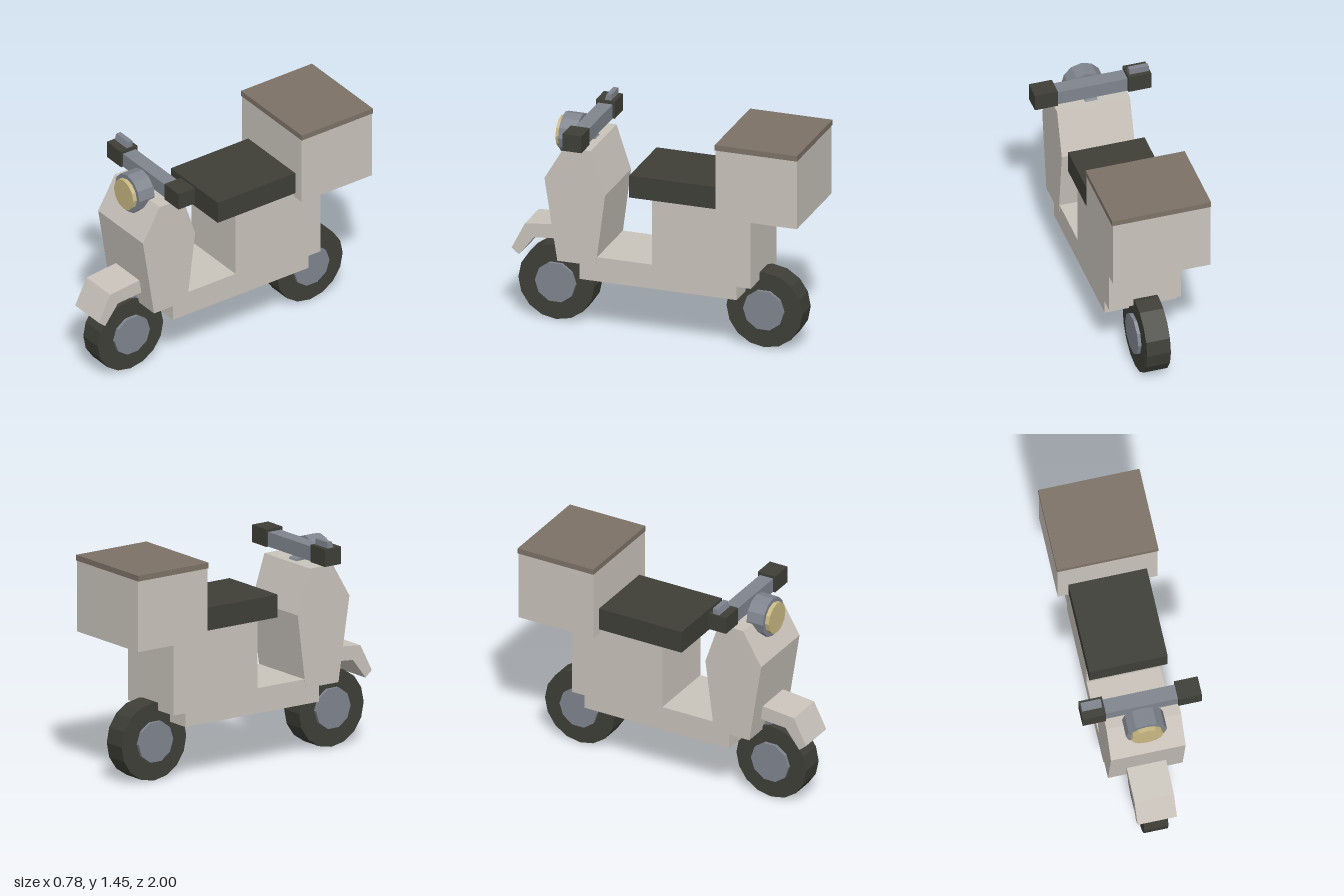
import * as THREE from 'three';

const mat = (name, color) => {
  const m = new THREE.MeshStandardMaterial({ color });
  m.name = name;
  return m;
};

export function createModel() {
  const scooter = new THREE.Group();
  scooter.name = 'scooter';
  const paint = mat('warm grey paint', 0xcac4bc);
  const rubber = mat('black rubber', 0x3f3f38);
  const metal = mat('blue grey metal', 0x80858f);
  const brown = mat('brown lid', 0x7d7267);
  const glass = mat('amber lens', 0xc9b983);

  const add = (name, geometry, material) => {
    const mesh = new THREE.Mesh(geometry, material);
    mesh.name = name;
    scooter.add(mesh);
    return mesh;
  };
  // Box given by its min and max corners
  const box = (name, material, [x0, y0, z0], [x1, y1, z1]) => {
    const g = new THREE.BoxGeometry(x1 - x0, y1 - y0, z1 - z0);
    return add(name, g.translate((x0 + x1) / 2, (y0 + y1) / 2, (z0 + z1) / 2), material);
  };
  // Side profile of [z, y] points, extruded across x and centred
  const profile = (name, material, points, width) => {
    const shape = new THREE.Shape(points.map(([z, y]) => new THREE.Vector2(z, y)));
    const g = new THREE.ExtrudeGeometry(shape, { depth: width, bevelEnabled: false });
    return add(name, g.translate(0, 0, -width / 2).rotateY(-Math.PI / 2), material);
  };
  // Faceted cylinder along the x or z axis
  const drum = (name, material, radius, length, sides, axis, [x, y, z]) => {
    let g = new THREE.CylinderGeometry(radius, radius, length, sides);
    if (axis === 'x') g.rotateZ(Math.PI / 2);
    else g.rotateX(Math.PI / 2);
    g = g.toNonIndexed();
    g.computeVertexNormals();
    return add(name, g.translate(x, y, z), material);
  };

  // Wheels
  for (const [label, z] of [['front', 0.716], ['rear', -0.689]]) {
    drum(label + 'Tyre', rubber, 0.256, 0.158, 16, 'x', [0, 0.256, z]);
    drum(label + 'Hub', metal, 0.137, 0.202, 10, 'x', [0, 0.258, z]);
  }

  // Footboard and rear body in one profile
  profile('body', paint, [
    [0.5, 0.365], [0.5, 0.53], [0.01, 0.53], [0.01, 0.98],
    [-0.655, 0.98], [-0.655, 0.455], [-0.56, 0.455], [-0.56, 0.365],
  ], 0.48);

  // Front leg shield
  profile('legShield', paint, [
    [0.65, 0.47], [0.737, 1.025], [0.605, 1.25],
    [0.426, 1.25], [0.328, 0.957], [0.39, 0.47],
  ], 0.486);

  // Front fender and fork
  profile('frontFender', paint, [
    [0.66, 0.673], [0.91, 0.647], [1.0, 0.47],
    [0.95, 0.428], [0.85, 0.56], [0.66, 0.575],
  ], 0.256);
  profile('fork', metal, [[0.64, 0.62], [0.69, 0.62], [0.74, 0.26], [0.68, 0.26]], 0.12);

  // Seat
  box('seat', rubber, [-0.255, 0.975, -0.46], [0.255, 1.125, 0.16]);

  // Cargo box with lid
  box('cargoBox', paint, [-0.325, 0.943, -0.997], [0.325, 1.41, -0.447]);
  box('cargoLid', brown, [-0.33, 1.408, -1], [0.33, 1.445, -0.444]);

  // Steering stem, handlebar and grips
  profile('steeringStem', metal, [[0.46, 1.24], [0.475, 1.262], [0.556, 1.279], [0.57, 1.24]], 0.08);
  box('handlebar', metal, [-0.24, 1.29, 0.45], [0.24, 1.386, 0.548]);
  for (const [label, side] of [['left', 1], ['right', -1]]) {
    const a = 0.235 * side, b = 0.388 * side;
    box(label + 'Grip', rubber, [Math.min(a, b), 1.29, 0.435], [Math.max(a, b), 1.405, 0.563]);
  }

  // Lever on the right grip
  const lever = profile('lever', metal, [
    [0.463, 1.4], [0.51, 1.4], [0.496, 1.445], [0.463, 1.445],
  ], 0.13);
  lever.position.x = -0.315;

  // Headlight with bracket
  box('headlightBracket', rubber, [-0.04, 1.25, 0.53], [0.04, 1.33, 0.58]);
  drum('headlightHousing', metal, 0.133, 0.12, 12, 'z', [0, 1.26, 0.625]);
  drum('headlightLens', glass, 0.105, 0.04, 12, 'z', [0, 1.26, 0.693]);

  return scooter;
}
